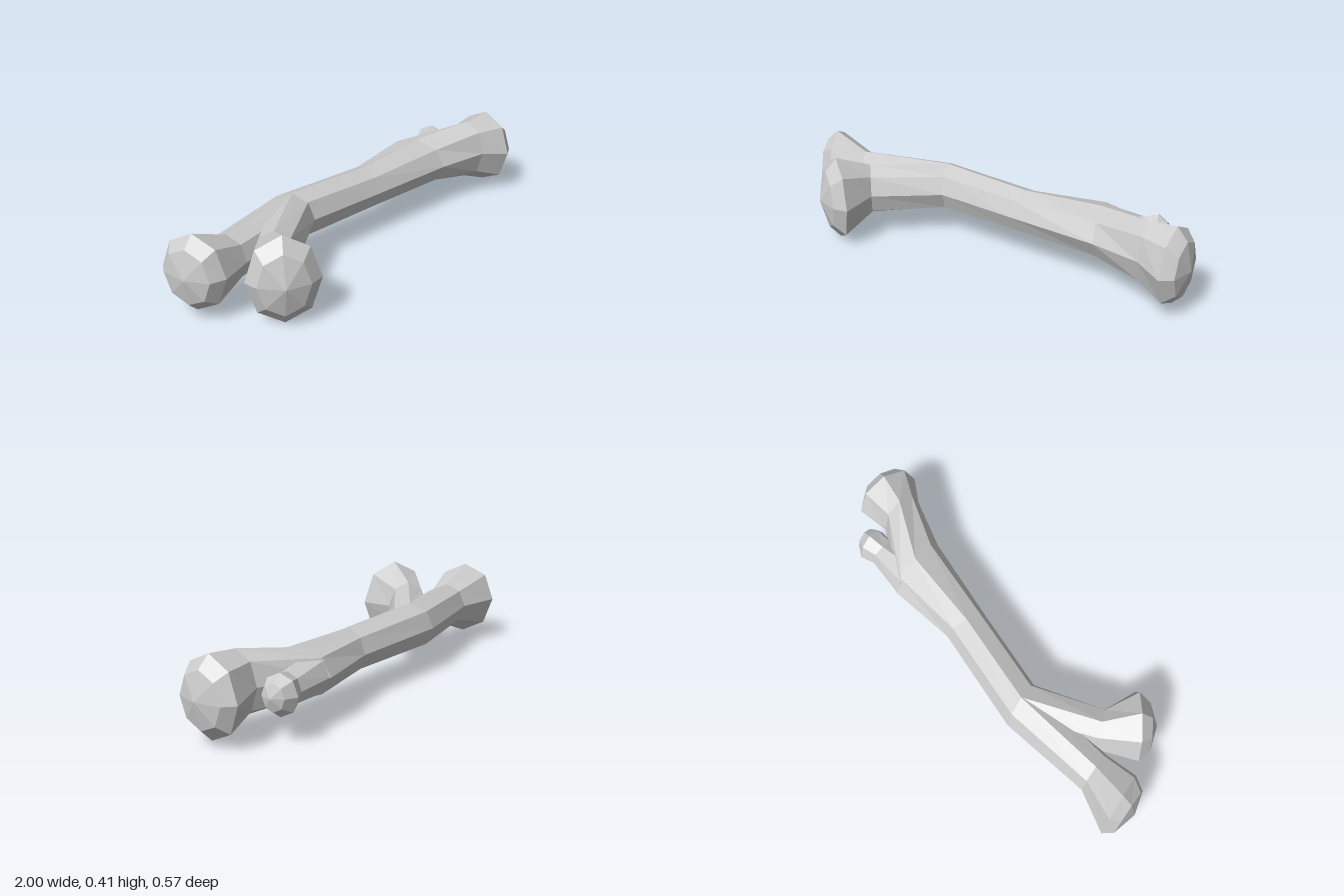
import * as THREE from 'three';

const SIDES = 8;
const material = new THREE.MeshStandardMaterial({ color: 0xcccccc, flatShading: true });

// Skin eight-sided rings: [centre x, y, z, half-width vector x, z, half-height].
// A ring without size closes the end to a point.
function loft(name, rings) {
  const positions = [];
  const corner = ([x, y, z, wx, wz, h], k) => {
    const a = (k / SIDES) * Math.PI * 2;
    return [x + wx * Math.cos(a), y + h * Math.sin(a), z + wz * Math.cos(a)];
  };
  const isPoint = (r) => r[5] === 0;
  for (let i = 0; i < rings.length - 1; i++) {
    for (let k = 0; k < SIDES; k++) {
      const a = corner(rings[i], k), b = corner(rings[i], k + 1);
      const c = corner(rings[i + 1], k), d = corner(rings[i + 1], k + 1);
      if (!isPoint(rings[i])) positions.push(...a, ...c, ...b);
      if (!isPoint(rings[i + 1])) positions.push(...b, ...c, ...d);
    }
  }
  const geometry = new THREE.BufferGeometry();
  geometry.setAttribute('position', new THREE.Float32BufferAttribute(positions, 3));
  geometry.computeVertexNormals();
  const mesh = new THREE.Mesh(geometry, material);
  mesh.name = name;
  return mesh;
}

export function createModel() {
  const bone = new THREE.Group();
  bone.name = 'bone';

  // Shaft with the rear knuckle at one end and the large head at the other
  bone.add(loft('shaft', [
    [-1.0, 0.22, -0.125, 0, 0, 0],
    [-0.972, 0.22, -0.135, 0.024, 0.11, 0.13],
    [-0.92, 0.22, -0.143, 0.04, 0.145, 0.18],
    [-0.745, 0.22, -0.125, 0.02, 0.095, 0.107],
    [-0.3, 0.225, -0.157, 0.03, 0.108, 0.115],
    [0.14, 0.222, -0.088, -0.03, 0.098, 0.103],
    [0.525, 0.225, -0.068, 0.025, 0.152, 0.115],
    [0.78, 0.235, 0.058, 0, 0.103, 0.15],
    [0.92, 0.214, 0.083, -0.02, 0.153, 0.186],
    [0.972, 0.214, 0.095, -0.012, 0.112, 0.13],
    [1.0, 0.215, 0.103, 0, 0, 0],
  ]));

  // Front knuckle branching forward from the shaft
  bone.add(loft('frontBranch', [
    [-0.27, 0.225, -0.157, 0, 0, 0],
    [-0.3, 0.225, -0.155, -0.03, -0.105, 0.113],
    [-0.62, 0.22, 0.03, -0.05, -0.08, 0.125],
    [-0.72, 0.207, 0.168, -0.12, -0.108, 0.207],
    [-0.757, 0.207, 0.205, -0.085, -0.076, 0.145],
    [-0.78, 0.207, 0.235, 0, 0, 0],
  ]));

  // Small knob beside the large head
  bone.add(loft('sideKnob', [
    [0.48, 0.225, -0.105, 0, 0, 0],
    [0.51, 0.225, -0.105, 0.018, 0.112, 0.1],
    [0.69, 0.22, -0.132, 0, 0.068, 0.075],
    [0.765, 0.22, -0.147, 0.016, 0.078, 0.095],
    [0.81, 0.222, -0.145, 0.008, 0.05, 0.062],
    [0.83, 0.222, -0.143, 0, 0, 0],
  ]));

  return bone;
}
